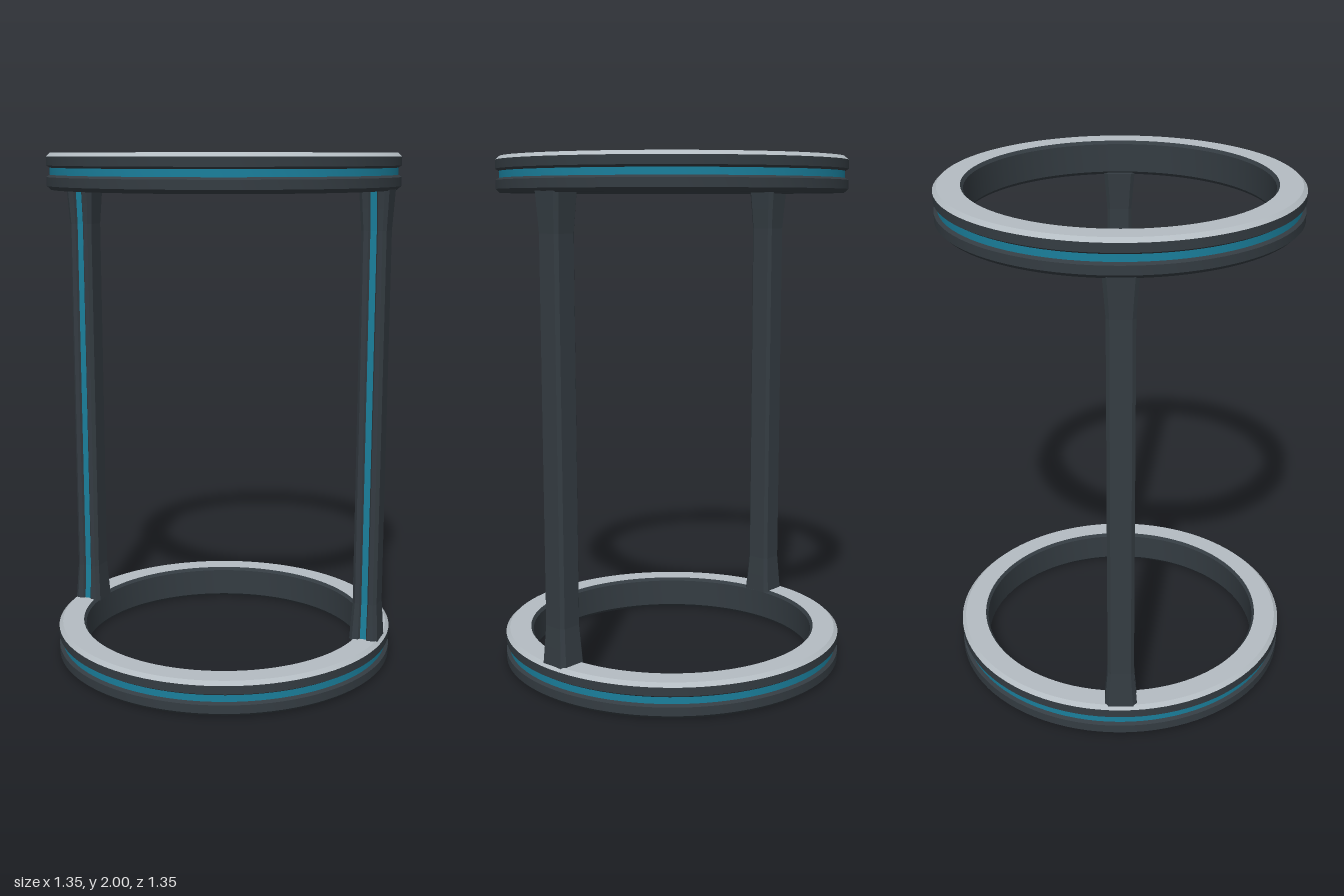
import * as THREE from 'three';
import { toCreasedNormals } from 'three/addons/utils/BufferGeometryUtils.js';

const mat = (name, color) => {
  const m = new THREE.MeshStandardMaterial({ color });
  m.name = name;
  return m;
};

// Smooth round surface with crisp profile corners
function lathe(name, points, material) {
  const geo = new THREE.LatheGeometry(points.map(([r, y]) => new THREE.Vector2(r, y)), 96);
  const mesh = new THREE.Mesh(toCreasedNormals(geo, 0.35), material);
  mesh.name = name;
  return mesh;
}

// Chamfered hoop with an accent band sunk into the outer wall
function ring(name, y, dark, light, accent) {
  const g = new THREE.Group();
  g.name = name;
  g.add(
    lathe('upperBody', [[0.662, 0.013], [0.675, 0.021], [0.675, 0.054]], dark),
    lathe('lowerBody', [
      [0.565, 0.056], [0.565, -0.056], [0.575, -0.068], [0.66, -0.068],
      [0.675, -0.054], [0.675, -0.021], [0.662, -0.013],
    ], dark),
    lathe('innerChamfer', [[0.575, 0.068], [0.565, 0.056]], dark),
    lathe('accentBand', [[0.662, -0.013], [0.662, 0.013]], accent),
    lathe('topFace', [[0.675, 0.054], [0.66, 0.068], [0.575, 0.068]], light),
  );
  g.position.y = y;
  return g;
}

// Post cross-section (x, z): chamfered block with a groove in the front
const SECTION = [
  [-0.036, 0.05], [-0.018, 0.05], [-0.012, 0.042], [0.012, 0.042], [0.018, 0.05], [0.036, 0.05],
  [0.048, 0.038], [0.048, -0.038], [0.036, -0.05], [-0.036, -0.05], [-0.048, -0.038], [-0.048, 0.038],
];
const GROOVE_FLOOR = 2;

// Heights with their flare in x and z
const LEVELS = [
  [0.13, 1.18, 1.24], [0.2, 1.1, 1.12], [0.28, 1, 1],
  [1.72, 1, 1], [1.8, 1.1, 1.12], [1.87, 1.18, 1.24],
];

function postGeometry() {
  const body = [], strip = [];
  const n = SECTION.length;
  const at = (i, [y, sx, sz]) => {
    const [x, z] = SECTION[i % n];
    // The groove keeps its width through the flare
    return [i % n >= 1 && i % n <= 4 ? x : x * sx, y, z * sz];
  };
  for (let i = 0; i < n; i++) {
    const out = i === GROOVE_FLOOR ? strip : body;
    for (let l = 0; l < LEVELS.length - 1; l++) {
      const a = at(i, LEVELS[l]), b = at(i + 1, LEVELS[l]);
      const c = at(i + 1, LEVELS[l + 1]), d = at(i, LEVELS[l + 1]);
      out.push(...a, ...b, ...c, ...a, ...c, ...d);
    }
    // End caps
    const lo = LEVELS[0], hi = LEVELS[LEVELS.length - 1];
    body.push(0, lo[0], 0, ...at(i + 1, lo), ...at(i, lo));
    body.push(0, hi[0], 0, ...at(i, hi), ...at(i + 1, hi));
  }
  const geo = new THREE.BufferGeometry();
  geo.setAttribute('position', new THREE.Float32BufferAttribute([...body, ...strip], 3));
  geo.addGroup(0, body.length / 3, 0);
  geo.addGroup(body.length / 3, strip.length / 3, 1);
  geo.computeVertexNormals();
  return geo;
}

export function createModel() {
  const dark = mat('darkSlate', 0x343c42);
  const light = mat('paleGrey', 0xb4bcc2);
  const accent = mat('tealAccent', 0x1a7f9c);

  const model = new THREE.Group();
  model.name = 'ringFrame';
  model.add(ring('bottomRing', 0.068, dark, light, accent));
  model.add(ring('topRing', 1.932, dark, light, accent));

  // Two upright posts joining the hoops
  const geo = postGeometry();
  for (const [name, x] of [['leftPost', 0.607], ['rightPost', -0.607]]) {
    const post = new THREE.Mesh(geo, [dark, accent]);
    post.name = name;
    post.position.x = x;
    model.add(post);
  }
  return model;
}
